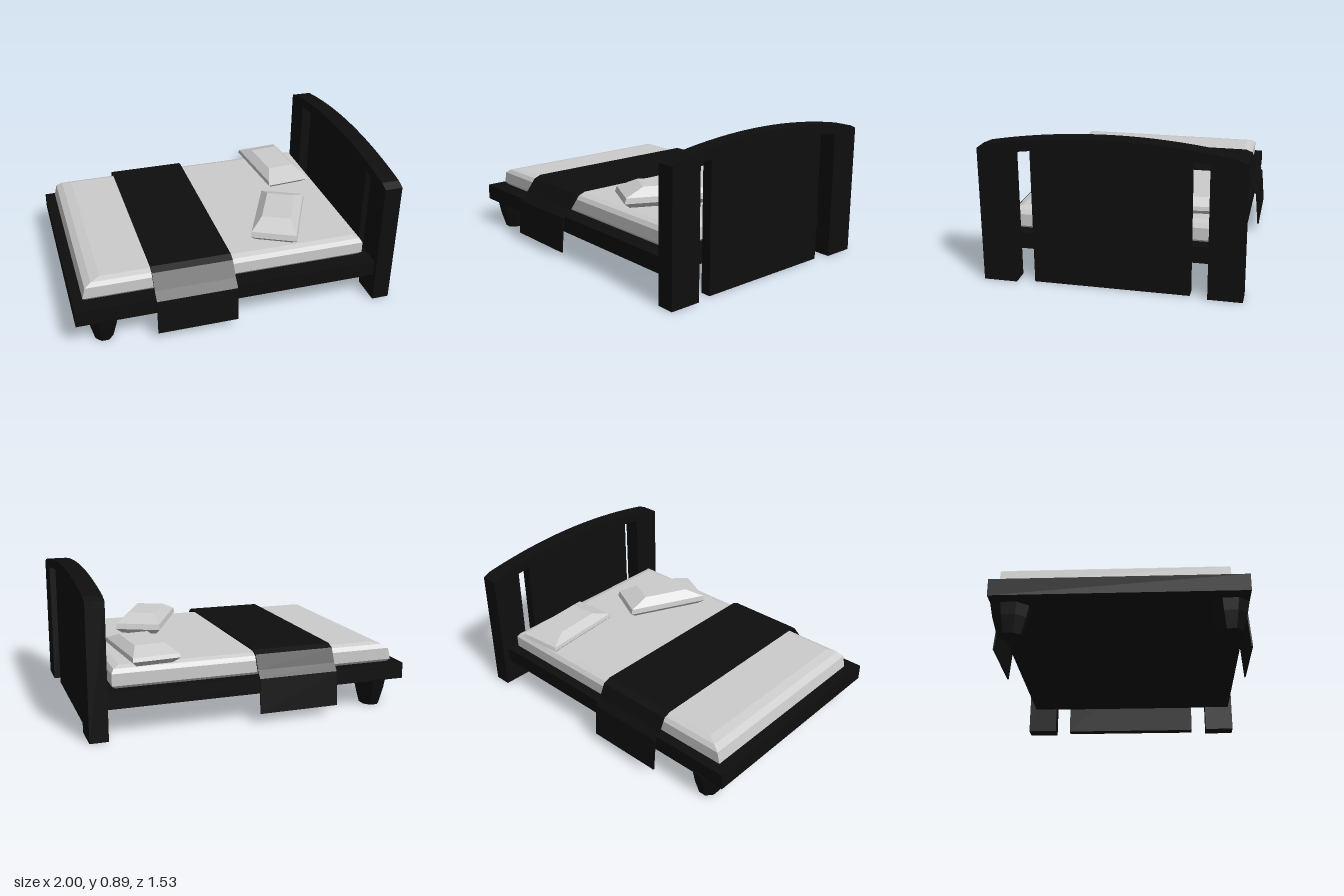
import * as THREE from 'three';

const grey = new THREE.MeshStandardMaterial({ color: 0xcccccc, flatShading: true });
const black = new THREE.MeshStandardMaterial({ color: 0x0e0e0e, flatShading: true });
const clothBlack = new THREE.MeshStandardMaterial({ color: 0x0e0e0e, flatShading: true, side: THREE.DoubleSide });

function add(parent, name, geometry, material) {
  const mesh = new THREE.Mesh(geometry, material);
  mesh.name = name;
  parent.add(mesh);
  return mesh;
}

// Box given by its minimum and maximum on each axis
function boxGeo(x0, x1, y0, y1, z0, z1) {
  return new THREE.BoxGeometry(x1 - x0, y1 - y0, z1 - z0)
    .translate((x0 + x1) / 2, (y0 + y1) / 2, (z0 + z1) / 2);
}

// Closed solid from stacked rectangles [y, x0, x1, z0, z1], bottom to top
function rectLoft(levels) {
  const pos = [];
  const index = [];
  for (const [y, x0, x1, z0, z1] of levels) {
    pos.push(x0, y, z1, x1, y, z1, x1, y, z0, x0, y, z0);
  }
  for (let l = 0; l < levels.length - 1; l++) {
    for (let i = 0; i < 4; i++) {
      const a = l * 4 + i;
      const b = l * 4 + (i + 1) % 4;
      index.push(a, b, b + 4, a, b + 4, a + 4);
    }
  }
  const t = (levels.length - 1) * 4;
  index.push(0, 2, 1, 0, 3, 2, t, t + 1, t + 2, t, t + 2, t + 3);
  const geo = new THREE.BufferGeometry();
  geo.setAttribute('position', new THREE.Float32BufferAttribute(pos, 3));
  geo.setIndex(index);
  const flat = geo.toNonIndexed();
  flat.computeVertexNormals();
  return flat;
}

// Extrude a (-z, y) outline along x
function extrudeX(shape, x0, x1) {
  return new THREE.ExtrudeGeometry(shape, { depth: x1 - x0, bevelEnabled: false, curveSegments: 24 })
    .rotateY(Math.PI / 2).translate(x0, 0, 0);
}

// Eight-sided tapering foot, deeper than wide
function footGeo() {
  const rings = [[0, 0.6], [0.1, 0.86], [0.18, 1]];
  const points = [[0, 0], ...rings.map(([y, s]) => [s, y]), [0, 0.18]]
    .map(([r, y]) => new THREE.Vector2(r / Math.cos(Math.PI / 8), y));
  return new THREE.LatheGeometry(points, 8, Math.PI / 8).scale(0.092, 1, 0.11);
}

function pillow(parent, name, x, y, z, turn, height) {
  const geo = rectLoft([
    [0, -0.11, 0.11, -0.235, 0.235],
    [0.035, -0.145, 0.145, -0.275, 0.275],
    [height * 0.58, -0.14, 0.14, -0.265, 0.265],
    [height, -0.09, 0.09, -0.15, 0.15],
  ]);
  const mesh = add(parent, name, geo, grey);
  mesh.position.set(x, y, z);
  mesh.rotation.y = turn;
}

export function createModel() {
  const bed = new THREE.Group();
  bed.name = 'bed';

  // Platform and feet
  add(bed, 'frame', boxGeo(-1, 0.9, 0.17, 0.27, -0.715, 0.72), black);
  for (const side of [1, -1]) {
    add(bed, side > 0 ? 'leftFoot' : 'rightFoot', footGeo(), black)
      .position.set(-0.828, 0, side * 0.612);
  }

  // Headboard: two posts, recessed panel, arched top rail
  const headboard = new THREE.Group();
  headboard.name = 'headboard';
  bed.add(headboard);
  add(headboard, 'leftPost', boxGeo(0.89, 1, 0, 0.795, 0.55, 0.747), black);
  add(headboard, 'rightPost', boxGeo(0.89, 1, 0, 0.795, -0.76, -0.562), black);
  add(headboard, 'panel', boxGeo(0.91, 0.975, 0, 0.82, -0.46, 0.447), black);
  const rail = new THREE.Shape();
  rail.moveTo(-0.747, 0.76);
  rail.lineTo(-0.747, 0.8);
  rail.lineTo(-0.695, 0.822);
  rail.quadraticCurveTo(0.006, 0.952, 0.708, 0.822);
  rail.lineTo(0.76, 0.8);
  rail.lineTo(0.76, 0.76);
  rail.lineTo(0.562, 0.786);
  rail.quadraticCurveTo(0.006, 0.865, -0.55, 0.786);
  add(headboard, 'topRail', extrudeX(rail, 0.89, 1), black);

  // Mattress with softened edges
  add(bed, 'mattress', rectLoft([
    [0.268, -0.92, 0.82, -0.645, 0.605],
    [0.288, -0.937, 0.845, -0.665, 0.622],
    [0.36, -0.92, 0.845, -0.665, 0.622],
    [0.385, -0.88, 0.83, -0.645, 0.605],
    [0.397, -0.82, 0.79, -0.61, 0.57],
  ]), grey);

  // Runner draped over mattress and frame
  const drape = [[0.765, 0.05], [0.748, 0.27], [0.7, 0.315], [0.635, 0.4], [0.59, 0.418],
    [-0.63, 0.418], [-0.675, 0.4], [-0.715, 0.315], [-0.75, 0.27], [-0.768, 0.06]];
  const inner = drape.map(([z, y]) => [z - Math.sign(z) * 0.008, y > 0.3 ? y - 0.008 : y]).reverse();
  const section = new THREE.Shape([...drape, ...inner].map(([z, y]) => new THREE.Vector2(-z, y)));
  add(bed, 'runner', extrudeX(section, -0.52, -0.02), clothBlack);

  // Two loosely placed pillows
  pillow(bed, 'rightPillow', 0.607, 0.39, -0.411, 0.082, 0.1);
  pillow(bed, 'leftPillow', 0.398, 0.395, 0.287, -0.456, 0.12);
  return bed;
}
